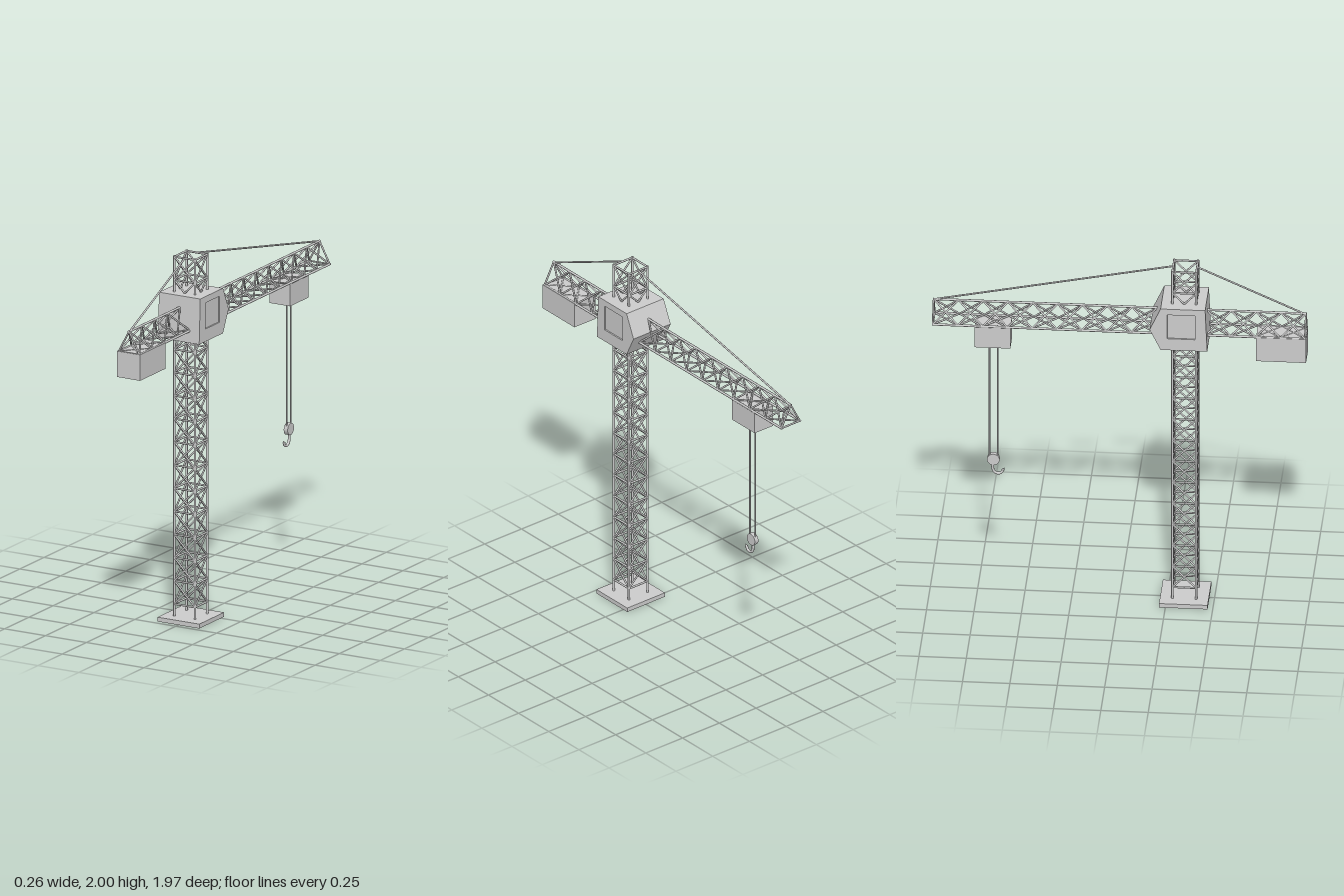
import * as THREE from 'three';
import { mergeGeometries } from 'three/addons/utils/BufferGeometryUtils.js';

const material = new THREE.MeshStandardMaterial({ color: 0xcccccc });
const flatMaterial = new THREE.MeshStandardMaterial({ color: 0xcccccc, flatShading: true });
const V = (x, y, z) => new THREE.Vector3(x, y, z);
const UP = V(0, 1, 0);

// Round bar between two points
function bar(a, b, radius) {
  const dir = b.clone().sub(a);
  const g = new THREE.CylinderGeometry(radius, radius, dir.length(), 8);
  g.applyQuaternion(new THREE.Quaternion().setFromUnitVectors(UP, dir.normalize()));
  const mid = a.clone().add(b).multiplyScalar(0.5);
  return g.translate(mid.x, mid.y, mid.z);
}

function addMesh(parent, name, geometry, mat = material) {
  const mesh = new THREE.Mesh(geometry, mat);
  mesh.name = name;
  parent.add(mesh);
  return mesh;
}

function addBox(parent, name, size, position) {
  addMesh(parent, name, new THREE.BoxGeometry(...size)).position.set(...position);
}

// Extrudes a (z, y) shape across x, centred on the given x
function extrudeAcross(shape, width, x) {
  const g = new THREE.ExtrudeGeometry(shape, { depth: width, bevelEnabled: false, curveSegments: 24 });
  return g.rotateY(-Math.PI / 2).translate(x + width / 2, 0, 0);
}

const TOWER_Z = 0.345, HALF = 0.063;
const JIB_TOP = 1.738, JIB_LOW = 1.62, JIB_END = 0.982;

// Square lattice mast with rings and crossed braces on all four faces
function buildTower() {
  const tower = new THREE.Group();
  tower.name = 'tower';
  const corners = [[-1, -1], [1, -1], [1, 1], [-1, 1]];
  const at = (i, y) => V(corners[i % 4][0] * HALF, y, TOWER_Z + corners[i % 4][1] * HALF);
  const bays = 15, y0 = 0.09, top = 1.994, step = (top - y0) / bays;
  const legs = [], rings = [], braces = [];
  for (let i = 0; i < 4; i++) {
    legs.push(bar(at(i, 0.02), at(i, 2), 0.0065));
    for (let k = 0; k <= bays; k++) {
      const y = y0 + k * step;
      rings.push(bar(at(i, y), at(i + 1, y), 0.0055));
      if (k === bays) continue;
      braces.push(bar(at(i, y), at(i + 1, y + step), 0.005));
      braces.push(bar(at(i + 1, y), at(i, y + step), 0.005));
    }
  }
  addMesh(tower, 'towerLegs', mergeGeometries(legs));
  addMesh(tower, 'towerRings', mergeGeometries(rings));
  addMesh(tower, 'towerBraces', mergeGeometries(braces));
  return tower;
}

// Triangular lattice jib, one chord on top and two below
function buildJib() {
  const jib = new THREE.Group();
  jib.name = 'jib';
  const section = [[0, JIB_TOP], [HALF, JIB_LOW], [-HALF, JIB_LOW]];
  const at = (i, z) => V(...section[i % 3], z);
  const bays = 15, step = 2 * JIB_END / bays;
  const chords = [], braces = [];
  for (let i = 0; i < 3; i++) {
    chords.push(bar(at(i, -JIB_END - 0.004), at(i, JIB_END + 0.004), 0.0065));
    for (const z of [-JIB_END, JIB_END]) braces.push(bar(at(i, z), at(i + 1, z), 0.005));
    for (let k = 0; k < bays; k++) {
      const z = -JIB_END + k * step;
      braces.push(bar(at(i, z), at(i + 1, z + step), 0.005));
      braces.push(bar(at(i + 1, z), at(i, z + step), 0.005));
    }
  }
  addMesh(jib, 'jibChords', mergeGeometries(chords));
  addMesh(jib, 'jibBraces', mergeGeometries(braces));
  return jib;
}

// Cab with a pointed nose and a shallow window recess on each side
function buildCab() {
  const cab = new THREE.Group();
  cab.name = 'cab';
  const outline = () => new THREE.Shape([
    [0.471, 1.556], [0.46, 1.803], [0.225, 1.803], [0.167, 1.675], [0.225, 1.556],
  ].map(p => new THREE.Vector2(...p)));
  addMesh(cab, 'cabBody', extrudeAcross(outline(), 0.236, 0), flatMaterial);
  const side = outline();
  side.holes.push(new THREE.Path([
    [0.408, 1.625], [0.26, 1.625], [0.26, 1.768], [0.408, 1.768],
  ].map(p => new THREE.Vector2(...p))));
  for (const s of [-1, 1]) {
    addMesh(cab, s > 0 ? 'leftWindowPanel' : 'rightWindowPanel',
      extrudeAcross(side, 0.008, s * 0.122), flatMaterial);
  }
  return cab;
}

// Pulley block and curved hook
function buildHook() {
  const hook = new THREE.Group();
  hook.name = 'hook';
  const pulley = new THREE.CylinderGeometry(0.033, 0.033, 0.024, 24).rotateZ(Math.PI / 2);
  addMesh(hook, 'pulley', pulley).position.set(0, 0.788, -0.667);
  const path = new THREE.CatmullRomCurve3([
    [0.77, -0.667], [0.737, -0.671], [0.713, -0.664], [0.702, -0.646], [0.706, -0.627], [0.724, -0.616],
  ].map(([y, z]) => V(0, y, z)));
  addMesh(hook, 'hookCurve', new THREE.TubeGeometry(path, 28, 0.0075, 8));
  const tip = new THREE.ConeGeometry(0.0075, 0.014, 8).rotateX(0.5);
  addMesh(hook, 'hookTip', tip).position.set(0, 0.729, -0.613);
  return hook;
}

export function createModel() {
  const crane = new THREE.Group();
  crane.name = 'towerCrane';
  addBox(crane, 'base', [0.256, 0.024, 0.256], [0, 0.012, TOWER_Z]);
  crane.add(buildTower(), buildJib(), buildCab(), buildHook());
  addBox(crane, 'counterweight', [0.142, 0.142, 0.264], [0, 1.551, 0.856]);
  addBox(crane, 'trolley', [0.126, 0.122, 0.188], [0, 1.553, -0.667]);

  // Hoist cables and the stays from the mast head
  for (const z of [-0.645, -0.688]) {
    addMesh(crane, 'hoistCable', bar(V(0, 0.79, z), V(0, 1.5, z), 0.0045));
  }
  addMesh(crane, 'rearStay', bar(V(0, 1.994, TOWER_Z + HALF), V(0, JIB_TOP, 0.972), 0.005));
  addMesh(crane, 'frontStay', bar(V(0, 1.994, TOWER_Z - HALF), V(0, JIB_TOP, -0.978), 0.005));
  return crane;
}
